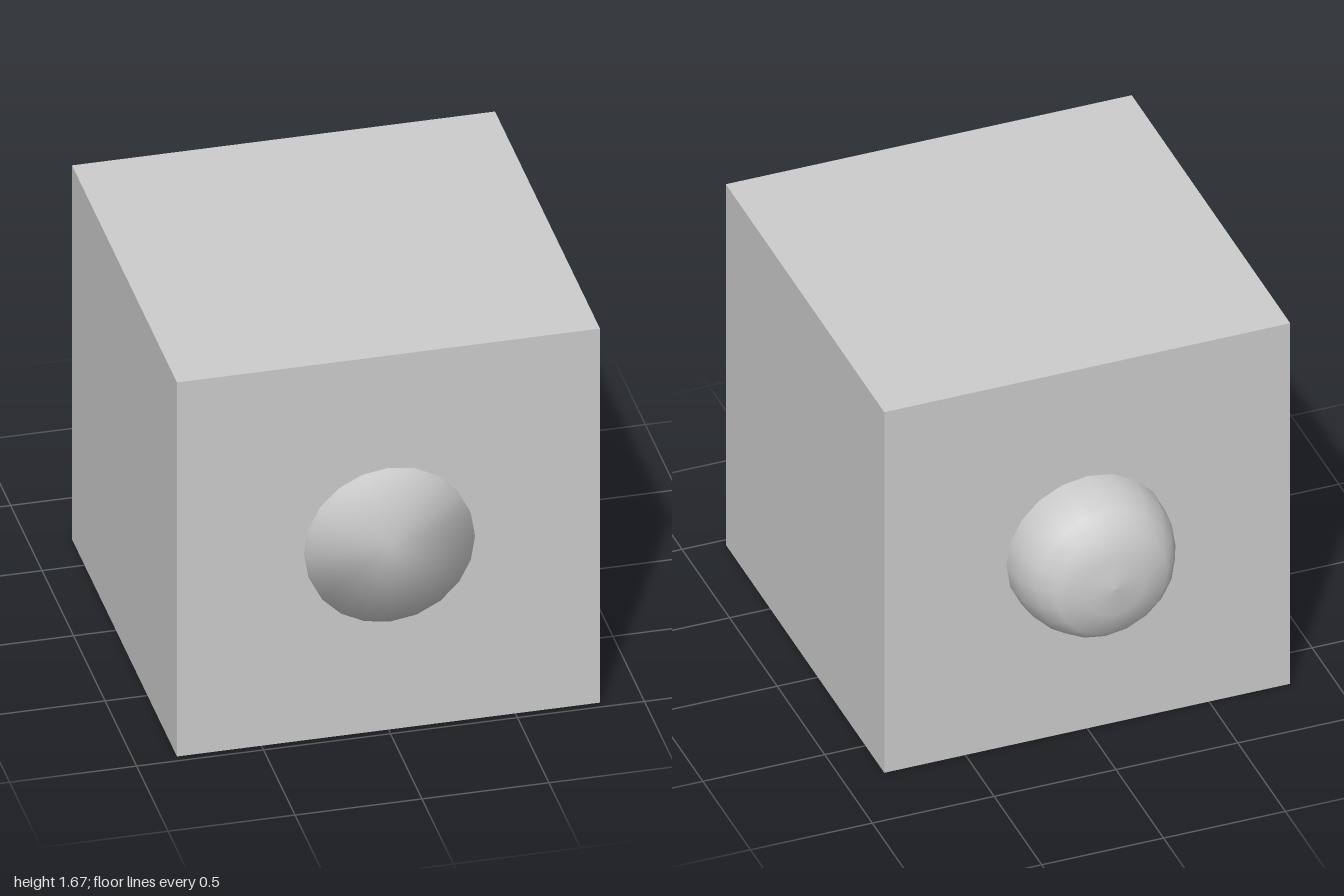
import * as THREE from 'three';

export function createModel() {
  const model = new THREE.Group();
  const material = new THREE.MeshStandardMaterial({ color: 0xcccccc });
  const size = 1.666;

  // Cube block, set slightly forward of centre
  const block = new THREE.Mesh(new THREE.BoxGeometry(size, size, size), material);
  block.name = 'block';
  block.position.set(0, size / 2, 0.135);
  model.add(block);

  // Rod through the block: rounded nose at the back, flat end at the front
  const profile = [
    [0, -1], [0.127, -0.985], [0.23, -0.953], [0.285, -0.89],
    [0.322, -0.8], [0.333, -0.69], [0.333, 1], [0, 1],
  ].map(([r, z]) => new THREE.Vector2(r, z));
  const rod = new THREE.Mesh(new THREE.LatheGeometry(profile, 20).rotateX(Math.PI / 2), material);
  rod.name = 'roundNosedRod';
  rod.position.y = size / 2;
  model.add(rod);

  return model;
}
